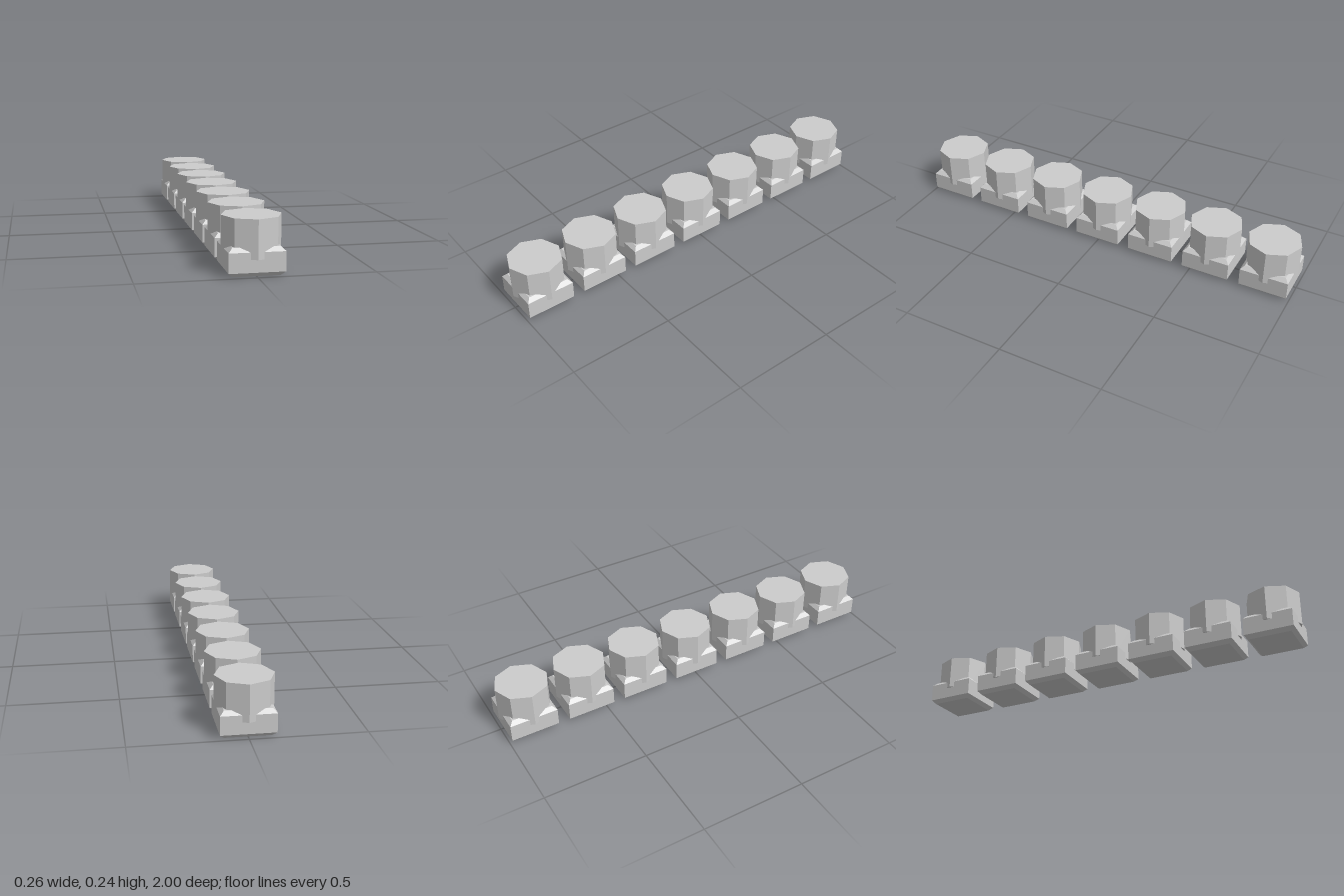
import * as THREE from 'three';

const COUNT = 7;
const SPACING = 0.2907;

// Hard-edged copy of a geometry
function faceted(geometry) {
  const flat = geometry.toNonIndexed();
  flat.computeVertexNormals();
  return flat;
}

// Square block with chamfered top and bottom, from a four-sided lathe
function makeBaseGeometry() {
  const profile = [[0, 0], [0.101, 0], [0.119, 0.018], [0.119, 0.102], [0.101, 0.12], [0, 0.12]]
    .map(([half, y]) => new THREE.Vector2(half * Math.SQRT2, y));
  const geometry = new THREE.LatheGeometry(profile, 4, Math.PI / 4);
  geometry.scale(1, 1, 0.98);
  return faceted(geometry);
}

// Octagonal prism with corners on the x and z axes
function makePostGeometry() {
  const geometry = new THREE.CylinderGeometry(0.128, 0.128, 0.166, 8);
  geometry.translate(0, 0.155, 0);
  return faceted(geometry);
}

export function createModel() {
  const model = new THREE.Group();
  model.name = 'bollardRow';

  const stone = new THREE.MeshStandardMaterial({ color: 0xcccccc });
  stone.name = 'light grey';
  const baseGeometry = makeBaseGeometry();
  const postGeometry = makePostGeometry();

  // Evenly spaced row along z
  for (let i = 0; i < COUNT; i++) {
    const unit = new THREE.Group();
    unit.name = `bollard${i + 1}`;
    const base = new THREE.Mesh(baseGeometry, stone);
    base.name = 'chamferedBase';
    const post = new THREE.Mesh(postGeometry, stone);
    post.name = 'octagonalPost';
    unit.add(base, post);
    unit.position.z = (i - (COUNT - 1) / 2) * SPACING;
    model.add(unit);
  }
  return model;
}
